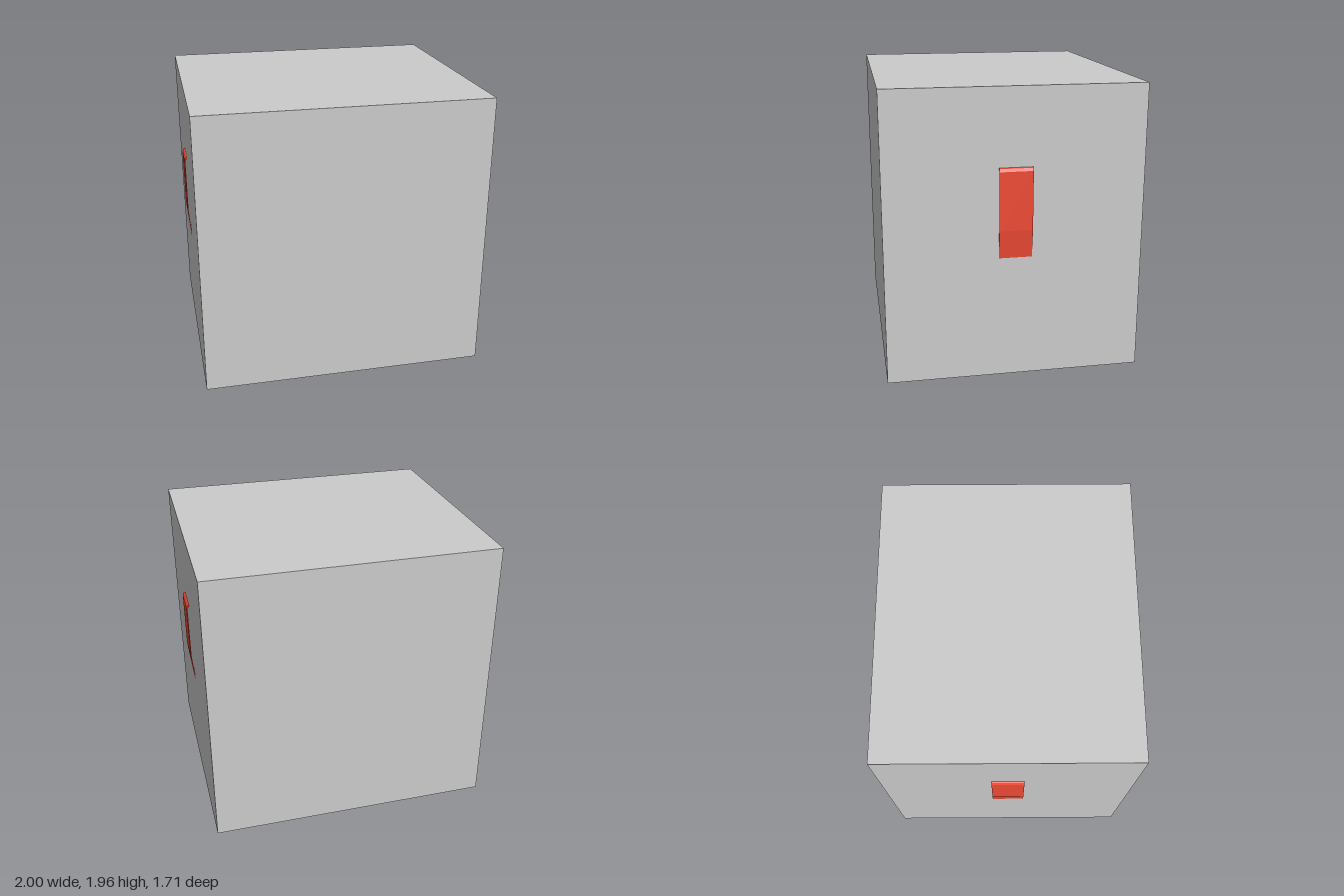
import * as THREE from 'three';

const W = 1.962, H = 1.95, D = 1.71, BASE = 0.01;

// Thin strap bowed out from a side wall; side is +1 (left) or -1 (right)
function makeStrap(side, material) {
  const outer = [[0.978, 1.445], [0.99, 1.438], [1, 1.42], [1, 1.03], [0.978, 0.81]];
  const inner = [[0.978, 0.85], [0.993, 1.03], [0.993, 1.418], [0.978, 1.435]];
  const points = [...outer, ...inner].map(([x, y]) => new THREE.Vector2(side * x, y));
  const geometry = new THREE.ExtrudeGeometry(new THREE.Shape(points), { depth: 0.22, bevelEnabled: false });
  geometry.translate(0, 0, -0.11);
  const strap = new THREE.Mesh(geometry, material);
  strap.name = side > 0 ? 'leftHandle' : 'rightHandle';
  return strap;
}

// Rounded rectangle outline, half sizes a and b, corner radius r
function roundedRect(target, a, b, r) {
  target.absarc(a - r, b - r, r, 0, Math.PI / 2);
  target.absarc(r - a, b - r, r, Math.PI / 2, Math.PI);
  target.absarc(r - a, r - b, r, Math.PI, Math.PI * 1.5);
  target.absarc(a - r, r - b, r, Math.PI * 1.5, Math.PI * 2);
  target.closePath();
  return target;
}

export function createModel() {
  const group = new THREE.Group();
  const grey = new THREE.MeshStandardMaterial({ color: 0xcccccc });
  const red = new THREE.MeshStandardMaterial({ color: 0xf04a35, side: THREE.DoubleSide });

  // Main box
  const body = new THREE.Mesh(new THREE.BoxGeometry(W, H, D), grey);
  body.name = 'body';
  body.position.y = BASE + H / 2;
  group.add(body);

  // Side handles
  for (const side of [1, -1]) group.add(makeStrap(side, red));

  // Fine rim under the base
  const outline = roundedRect(new THREE.Shape(), 0.9, 0.74, 0.03);
  outline.holes.push(roundedRect(new THREE.Path(), 0.894, 0.734, 0.024));
  const rimGeometry = new THREE.ExtrudeGeometry(outline, { depth: 0.008, bevelEnabled: false, curveSegments: 4 });
  rimGeometry.rotateX(-Math.PI / 2);
  const rim = new THREE.Mesh(rimGeometry, grey);
  rim.name = 'baseRim';
  rim.position.y = 0.004;
  group.add(rim);

  // Small tabs under the middle of each base edge
  for (const side of [1, -1]) {
    const sideTab = new THREE.Mesh(new THREE.BoxGeometry(0.014, 0.012, 0.22), red);
    sideTab.name = side > 0 ? 'leftBaseTab' : 'rightBaseTab';
    sideTab.position.set(side * 0.92, 0.006, 0);
    const endTab = new THREE.Mesh(new THREE.BoxGeometry(0.22, 0.012, 0.014), red);
    endTab.name = side > 0 ? 'frontBaseTab' : 'backBaseTab';
    endTab.position.set(0, 0.006, side * 0.762);
    group.add(sideTab, endTab);
  }
  return group;
}
